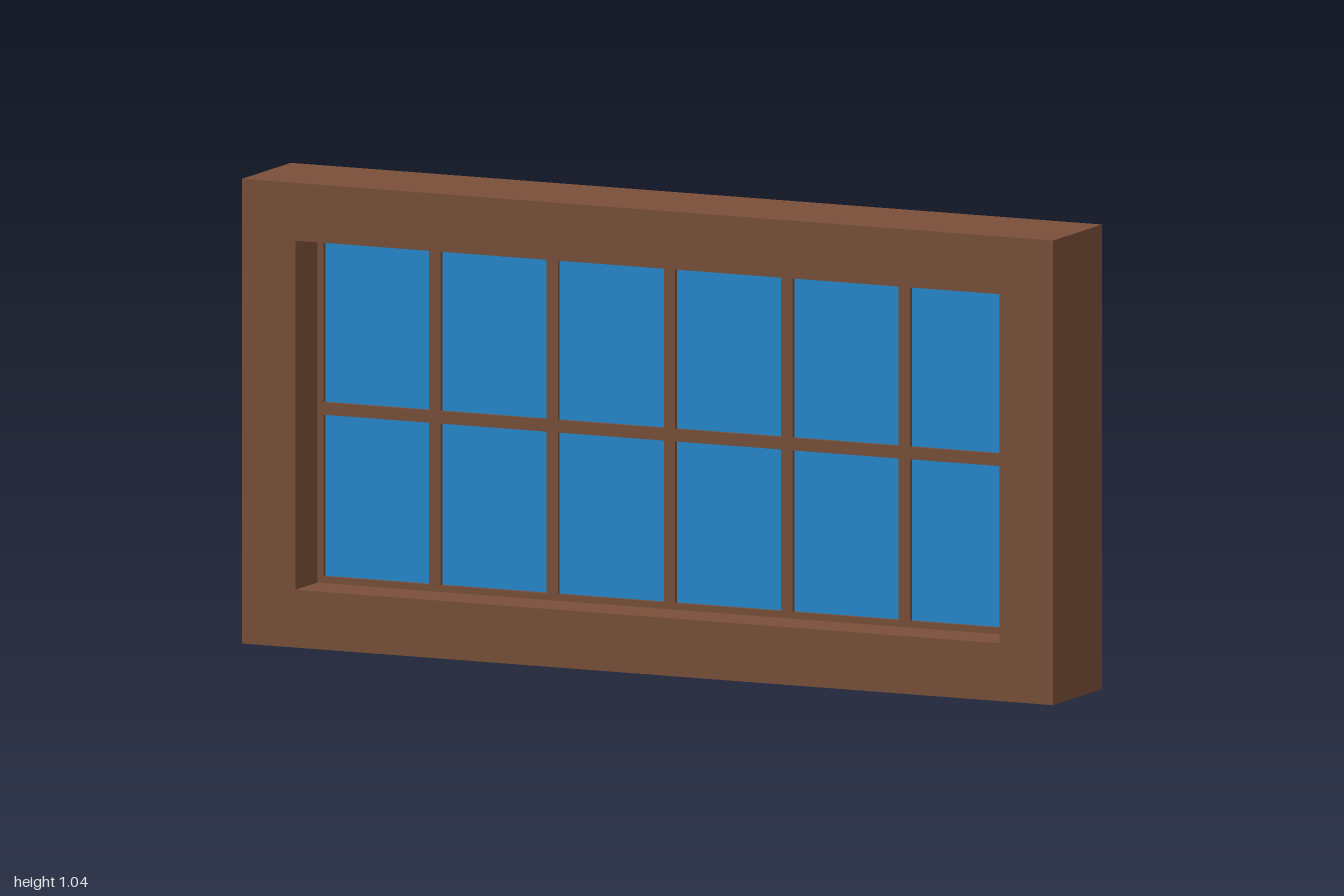
import * as THREE from 'three';

const W = 2, H = 1.045, D = 0.25;                 // outer frame
const X = 0.868, Y0 = 0.13, Y1 = 0.915;           // opening
const COLS = 6, ROWS = 2;
const EDGE = 0.015, BAR = 0.028, BAR_D = 0.025;   // sash edge and glazing bars

function rectPath(path, x0, y0, x1, y1) {
  path.moveTo(x0, y0);
  path.lineTo(x1, y0);
  path.lineTo(x1, y1);
  path.lineTo(x0, y1);
  path.closePath();
  return path;
}

// Rectangular ring, centred in depth
function ring(name, outer, inner, depth, material) {
  const shape = rectPath(new THREE.Shape(), ...outer);
  shape.holes.push(rectPath(new THREE.Path(), ...inner));
  const geo = new THREE.ExtrudeGeometry(shape, { depth, bevelEnabled: false });
  geo.translate(0, 0, -depth / 2);
  const mesh = new THREE.Mesh(geo, material);
  mesh.name = name;
  return mesh;
}

function box(name, w, h, d, x, y, material) {
  const mesh = new THREE.Mesh(new THREE.BoxGeometry(w, h, d), material);
  mesh.position.set(x, y, 0);
  mesh.name = name;
  return mesh;
}

export function createModel() {
  const wood = new THREE.MeshStandardMaterial({ color: 0x7a4f39 });
  wood.name = 'brown wood';
  const glass = new THREE.MeshStandardMaterial({ color: 0x2489d0 });
  glass.name = 'blue glass';

  const model = new THREE.Group();
  model.name = 'window';
  const opening = [-X, Y0, X, Y1];
  const sashInner = [-X + EDGE, Y0 + EDGE, X - EDGE, Y1 - EDGE];

  // Deep outer frame and the thin sash set halfway into it
  model.add(ring('outerFrame', [-W / 2, 0, W / 2, H], opening, D, wood));
  model.add(ring('sash', opening, sashInner, BAR_D, wood));

  const midY = (Y0 + Y1) / 2;
  const innerW = 2 * (X - EDGE), innerH = Y1 - Y0 - 2 * EDGE;
  const stepX = (2 * X) / COLS, stepY = (Y1 - Y0) / ROWS;

  // Glazing bars
  for (let i = 1; i < COLS; i++) {
    model.add(box('verticalBar', BAR, innerH, BAR_D, -X + i * stepX, midY, wood));
  }
  // Cross bar in pieces between the vertical bars
  for (let i = 0; i < COLS; i++) {
    const x0 = i === 0 ? -X + EDGE : -X + i * stepX + BAR / 2;
    const x1 = i === COLS - 1 ? X - EDGE : -X + (i + 1) * stepX - BAR / 2;
    model.add(box('crossBar', x1 - x0, BAR, BAR_D, (x0 + x1) / 2, midY, wood));
  }

  // Panes, seen from both sides
  for (let i = 0; i < COLS; i++) {
    for (let j = 0; j < ROWS; j++) {
      const x = -X + (i + 0.5) * stepX, y = Y0 + (j + 0.5) * stepY;
      model.add(box('pane', stepX - BAR / 2, stepY - BAR / 2, 0.006, x, y, glass));
    }
  }
  return model;
}
